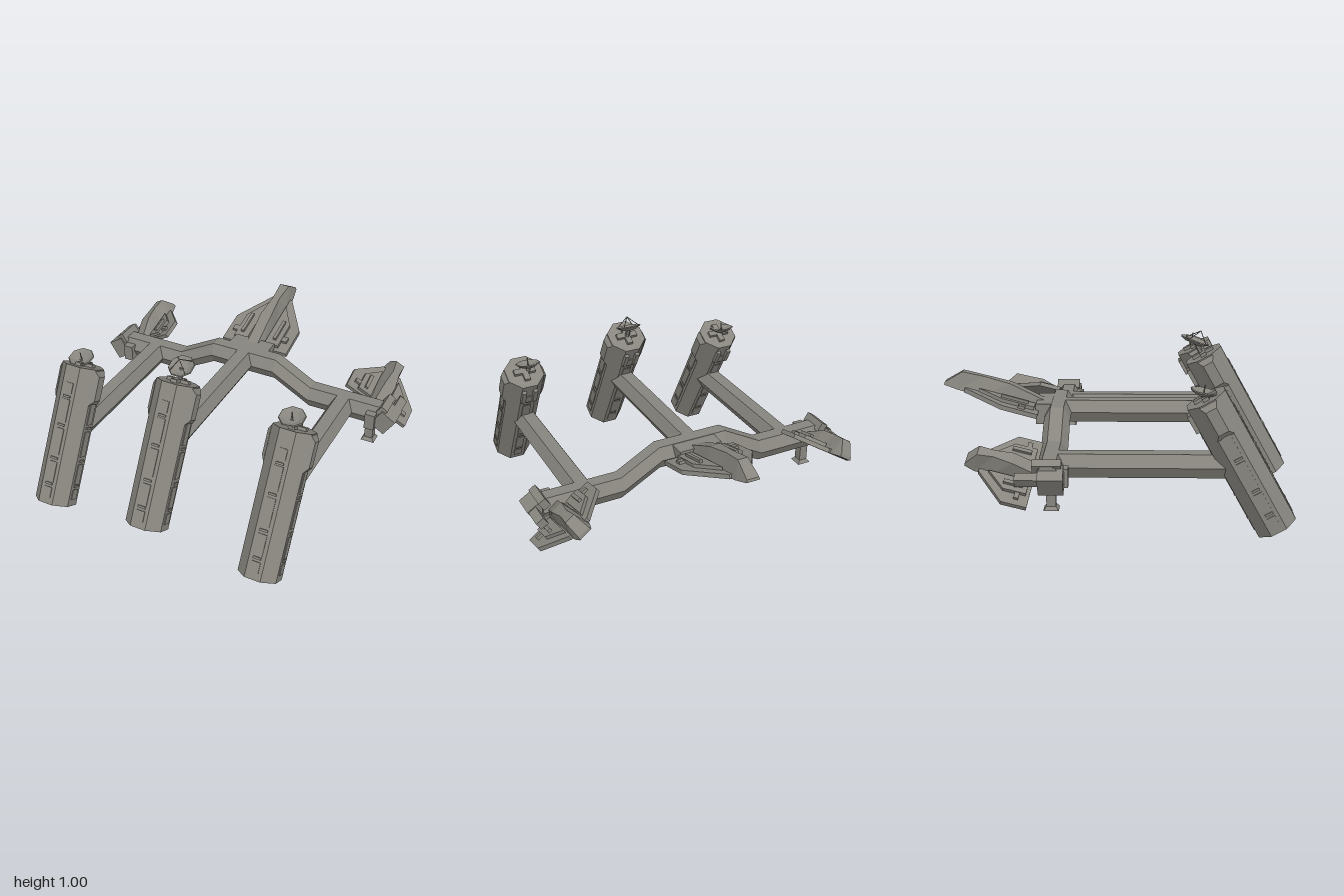
import * as THREE from 'three';

const hull = new THREE.MeshStandardMaterial({ color: 0x87857e });
hull.name = 'hull grey';

// faceted mesh helper
function part(name, geometry, parent, x = 0, y = 0, z = 0) {
  const g = geometry.index ? geometry.toNonIndexed() : geometry;
  g.computeVertexNormals();
  const m = new THREE.Mesh(g, hull);
  m.name = name;
  m.position.set(x, y, z);
  parent.add(m);
  return m;
}
const box = (name, parent, w, h, d, x, y, z) => part(name, new THREE.BoxGeometry(w, h, d), parent, x, y, z);

function group(name, parent, x, y, z) {
  const g = new THREE.Group();
  g.name = name;
  g.position.set(x, y, z);
  parent.add(g);
  return g;
}

// skin a list of rings, capped at both ends
function loft(rings) {
  const n = rings[0].length, idx = [];
  for (let k = 0; k < rings.length - 1; k++) {
    for (let i = 0; i < n; i++) {
      const j = (i + 1) % n, a = k * n + i, b = k * n + j, c = b + n, d = a + n;
      idx.push(a, d, c, a, c, b);
    }
  }
  const e = (rings.length - 1) * n;
  for (let i = 1; i < n - 1; i++) idx.push(0, i, i + 1, e, e + i + 1, e + i);
  const g = new THREE.BufferGeometry();
  g.setAttribute('position', new THREE.Float32BufferAttribute(rings.flat(2), 3));
  g.setIndex(idx);
  return g;
}

const hex = (fn) => Array.from({ length: 6 }, (_, i) => fn(0.075 * Math.cos(i * Math.PI / 3), 0.075 * Math.sin(i * Math.PI / 3)));

// thin rod between two points
function rod(name, parent, a, b, r, sides = 4) {
  const p = new THREE.Vector3(...a), q = new THREE.Vector3(...b), d = q.clone().sub(p);
  const m = part(name, new THREE.CylinderGeometry(r, r, d.length(), sides), parent);
  m.position.copy(p).add(q).multiplyScalar(0.5);
  m.quaternion.setFromUnitVectors(new THREE.Vector3(0, 1, 0), d.normalize());
}

// horizontal slab from an outline of [x, distance back]
function slab(points, thickness, y) {
  const g = new THREE.ExtrudeGeometry(new THREE.Shape(points.map((p) => new THREE.Vector2(...p))), { depth: thickness, bevelEnabled: false });
  return g.rotateX(-Math.PI / 2).translate(0, y, 0);
}

// leaning octagonal tower with hull panels and side pods
function tower(parent, x, y, z) {
  const L = 0.807, g = group('tower', parent, x, y, z);
  g.rotation.x = -0.513;
  part('towerBody', new THREE.CylinderGeometry(0.119, 0.119, L, 8).rotateY(Math.PI / 8), g, 0, L / 2, 0);
  for (let f = 0; f < 4; f++) {
    const face = group('towerFace', g, 0, 0, 0);
    face.rotation.y = f * Math.PI / 2;
    [[0.07, 0.06], [0.19, 0.12], [0.37, 0.15], [0.55, 0.13], [0.68, 0.06]].forEach(([h, len]) =>
      box('hullPanel', face, 0.05, len, 0.008, 0, h, 0.111));
    [0.12, 0.27, 0.465, 0.63].forEach((h) => box('panelRib', face, 0.045, 0.012, 0.012, 0, h, 0.111));
    if (f % 2) {
      part('sidePod', loft([
        [[-0.03, -0.07, 0.022], [0.03, -0.07, 0.022], [0.03, 0.07, 0.022], [-0.03, 0.07, 0.022]],
        [[-0.05, -0.1, 0], [0.05, -0.1, 0], [0.05, 0.1, 0], [-0.05, 0.1, 0]],
      ]), face, 0, 0.7, 0.11);
    }
  }
  // roof equipment
  box('roofBlock', g, 0.13, 0.02, 0.035, 0, L + 0.008, 0);
  box('roofBlock', g, 0.035, 0.02, 0.13, 0, L + 0.008, 0);
  for (const s of [-1, 1]) box('rearVent', g, 0.025, 0.1, 0.025, s * 0.035, 0.72, -0.118);
  return g;
}

function dish(parent, x, y, z, foot, tilt, tripod) {
  rod('dishStem', parent, foot, [x, y, z], 0.014, 6);
  const g = group('dish', parent, x, y, z);
  g.rotation.x = tilt;
  const profile = [[0, -0.01], [0.04, -0.006], [0.075, 0.014], [0.071, 0.02], [0.037, 0.003], [0, 0]];
  part('dishBowl', new THREE.LatheGeometry(profile.map((p) => new THREE.Vector2(...p)), 8, Math.PI / 8), g);
  if (tripod) {
    for (let i = 0; i < 4; i++) {
      const a = Math.PI / 4 + i * Math.PI / 2;
      rod('feedStrut', g, [0.07 * Math.cos(a), 0.016, 0.07 * Math.sin(a)], [0, 0.075, 0], 0.0025);
    }
  } else rod('feedSpike', g, [0, 0, 0], [0, 0.05, 0], 0.004);
}

// winged pod: flat wing, stepped panels and a tapering spine; s shortens it
function pod(name, parent, x, y, z, pitch, roll, s) {
  const g = group(name, parent, x, y, z);
  g.rotation.set(pitch, 0, roll);
  const sc = (pts) => pts.map(([px, d]) => [px, d * s]);
  part('wing', slab(sc([[-0.218, 0], [0.218, 0], [0.218, 0.21], [0.065, 0.45], [-0.065, 0.45], [-0.218, 0.21]]), 0.026, -0.012), g);
  for (const m of [1, -1]) {
    const pts = sc([[0.06, 0.03], [0.15, 0.03], [0.15, 0.22], [0.06, 0.37]]).map(([px, d]) => [px * m, d]);
    part('wingPanel', slab(pts, 0.022, 0.012), g);
    box('wingBlock', g, 0.04, 0.02, 0.04 * s, m * 0.165, 0.02, -0.1 * s);
    box('wingRib', g, 0.02, 0.02, 0.16 * s, m * 0.11, 0.04, -0.15 * s);
  }
  const ring = (d, base, top, low, high) => [[-base, low, -d * s], [base, low, -d * s], [top, high, -d * s], [-top, high, -d * s]];
  part('spine', loft([
    ring(-0.05, 0.06, 0.035, -0.01, 0.05), ring(0.2, 0.06, 0.035, -0.01, 0.1),
    ring(0.36, 0.06, 0.022, -0.01, 0.1), ring(0.49, 0.055, 0.03, -0.01, 0.095),
    ring(0.575, 0.04, 0.036, -0.006, 0.01),
  ]), g);
}

export function createModel() {
  const model = new THREE.Group();
  model.name = 'station';

  // towers, their dishes and the beams behind them
  const units = [
    [-0.66, 0.055, 0.87, 0.395, [-0.68, 0.785, 0.46]],
    [-0.025, 0.157, 0.9, 0.525, [-0.025, 0.925, 0.462]],
    [0.65, 0.07, 0.885, 0.395, [0.627, 0.815, 0.475]],
  ];
  units.forEach(([x, y, z, beamY, d], i) => {
    tower(model, x, y, z);
    dish(model, ...d, [d[0], y + 0.69, z - 0.4], i === 1 ? 0.36 : 0.2, i === 1);
    const bx = [-0.657, -0.03, 0.632][i];
    part('beam', loft([0.62, -0.335].map((bz) => hex((c, s) => [bx + c, beamY + s, bz]))), model);
  });

  // stepped crossbar
  const path = [[0.89, 0.395], [0.42, 0.395], [0.185, 0.525], [-0.23, 0.525], [-0.465, 0.395], [-0.92, 0.395]];
  part('crossbar', loft(path.map(([x, y]) => hex((c, s) => [x, y + s, -0.335 - c]))), model);

  // central pod and its mount
  pod('rearPod', model, -0.025, 0.535, -0.45, 0.265, 0, 1);
  box('rearMount', model, 0.26, 0.12, 0.13, -0.025, 0.528, -0.4);

  // outer pods with brackets and landing feet
  for (const s of [-1, 1]) {
    pod('sidePodWing', model, s * 0.8, 0.375, -0.41, 0.25, -s * 0.57, 0.63);
    const b = group('bracket', model, s * 0.9, 0.385, -0.32);
    b.rotation.z = -s * 0.57;
    box('bracketBlock', b, 0.1, 0.12, 0.13, 0, 0, 0);
    box('bracketArm', b, 0.05, 0.05, 0.2, s * 0.02, 0.03, -0.08);
    box('bracketCap', b, 0.045, 0.06, 0.15, -s * 0.05, 0.05, -0.02);
    box('footLeg', model, 0.05, 0.16, 0.05, s * 0.81, 0.285, -0.325);
    part('footPad', new THREE.CylinderGeometry(0.036, 0.057, 0.02, 4).rotateY(Math.PI / 4), model, s * 0.81, 0.21, -0.325);
    box('legCollar', model, 0.06, 0.1, 0.06, s * 0.825, 0.38, -0.265);
  }
  return model;
}
